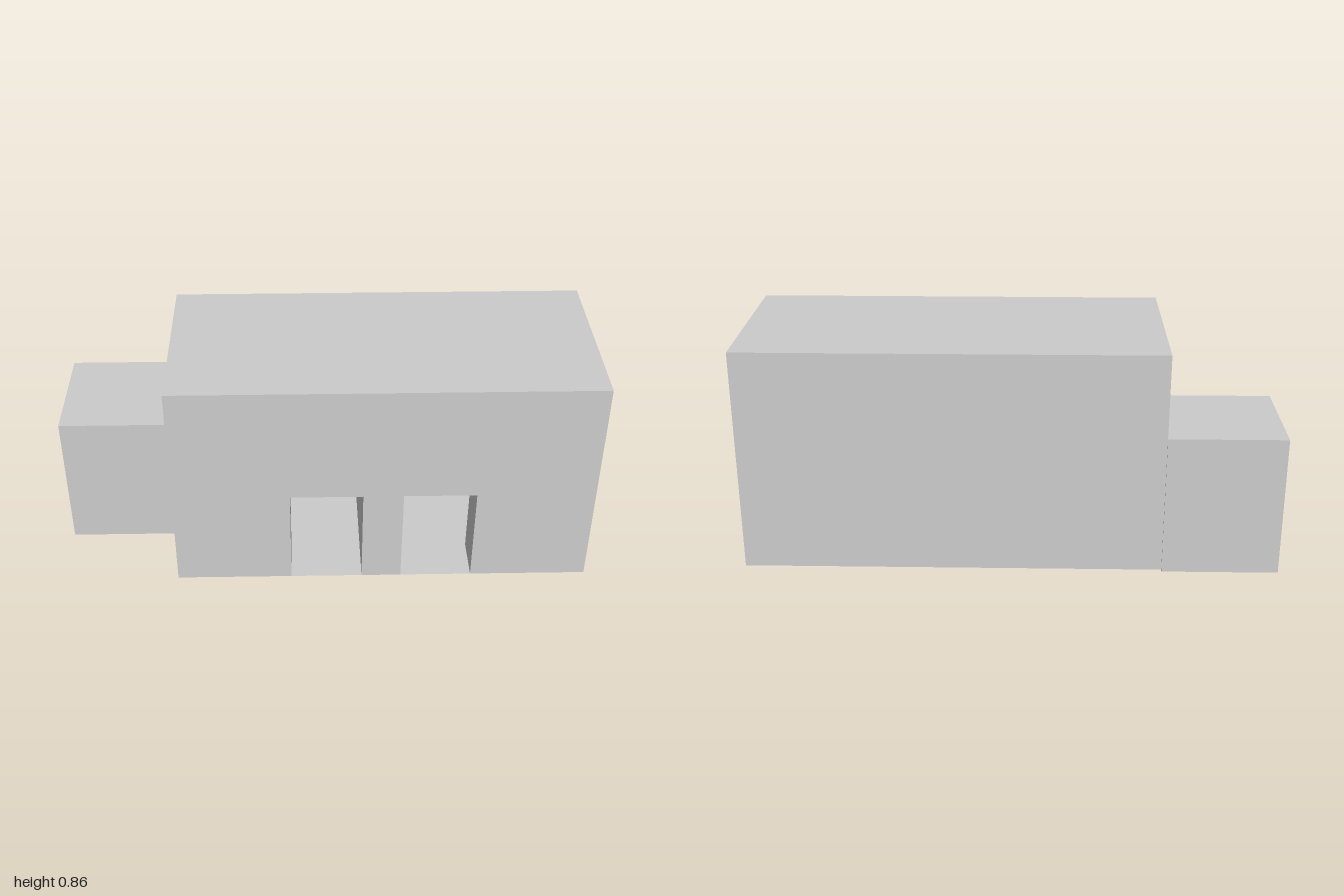
import * as THREE from 'three';

const material = new THREE.MeshStandardMaterial({ color: 0xcccccc, flatShading: true, side: THREE.DoubleSide });
const BASE = 0.005, DOOR = 0.395, ROOF = 0.855;
const LEFT = -0.565, RIGHT = 1, FRONT = 0.35, BACK = -0.345;

function addMesh(parent, name, geometry) {
  const mesh = new THREE.Mesh(geometry, material);
  mesh.name = name;
  parent.add(mesh);
  return mesh;
}

// Vertical walls along an open path of [x, z] points
function walls(path, y0, y1) {
  const positions = [];
  for (let i = 0; i + 1 < path.length; i++) {
    const [ax, az] = path[i], [bx, bz] = path[i + 1];
    positions.push(ax, y0, az, bx, y0, bz, bx, y1, bz, ax, y0, az, bx, y1, bz, ax, y1, az);
  }
  const geometry = new THREE.BufferGeometry();
  geometry.setAttribute('position', new THREE.Float32BufferAttribute(positions, 3));
  geometry.computeVertexNormals();
  return geometry;
}

// Horizontal slab face from a plan outline, facing up or down
function level(path, y, up = true) {
  const shape = new THREE.Shape(path.map(([x, z]) => new THREE.Vector2(x, up ? -z : z)));
  return new THREE.ShapeGeometry(shape).rotateX(up ? -Math.PI / 2 : Math.PI / 2).translate(0, y, 0);
}

export function createModel() {
  const model = new THREE.Group();
  model.name = 'building';
  const body = new THREE.Group();
  body.name = 'mainBlock';
  model.add(body);

  // Front wall with two doorways cut up from the ground
  const doors = [[-0.13, 0.14], [0.29, 0.56]];
  const outline = [[LEFT, BASE]];
  for (const [a, b] of doors) outline.push([a, BASE], [a, DOOR], [b, DOOR], [b, BASE]);
  outline.push([RIGHT, BASE], [RIGHT, ROOF], [LEFT, ROOF]);
  const front = new THREE.Shape(outline.map(([x, y]) => new THREE.Vector2(x, y)));
  addMesh(body, 'frontWall', new THREE.ShapeGeometry(front).translate(0, 0, FRONT));

  // Outer side and back walls, roof and underside
  const plan = [[RIGHT, FRONT], [RIGHT, BACK], [LEFT, BACK], [LEFT, FRONT]];
  addMesh(body, 'outerWalls', walls(plan, BASE, ROOF));
  addMesh(body, 'roof', level(plan, ROOF));
  addMesh(body, 'floor', level(plan, BASE));

  // Two mirrored rooms, each widening sideways behind its doorway
  const room = [[-0.13, FRONT], [-0.13, 0.18], [-0.29, 0.18], [-0.29, -0.15], [0.14, -0.15], [0.14, FRONT]];
  const mirrored = room.map(([x, z]) => [0.43 - x, z]).reverse();
  [['leftDoorRoom', room], ['rightDoorRoom', mirrored]].forEach(([name, path]) => {
    const group = new THREE.Group();
    group.name = name;
    body.add(group);
    addMesh(group, 'roomWalls', walls([...path].reverse(), BASE, DOOR));
    addMesh(group, 'roomCeiling', level(path, DOOR, false));
  });

  // Lower side annex
  const annex = addMesh(model, 'annex', new THREE.BoxGeometry(0.435, 0.54, 0.435));
  annex.position.set(-0.7825, 0.27, -0.1325);
  return model;
}
